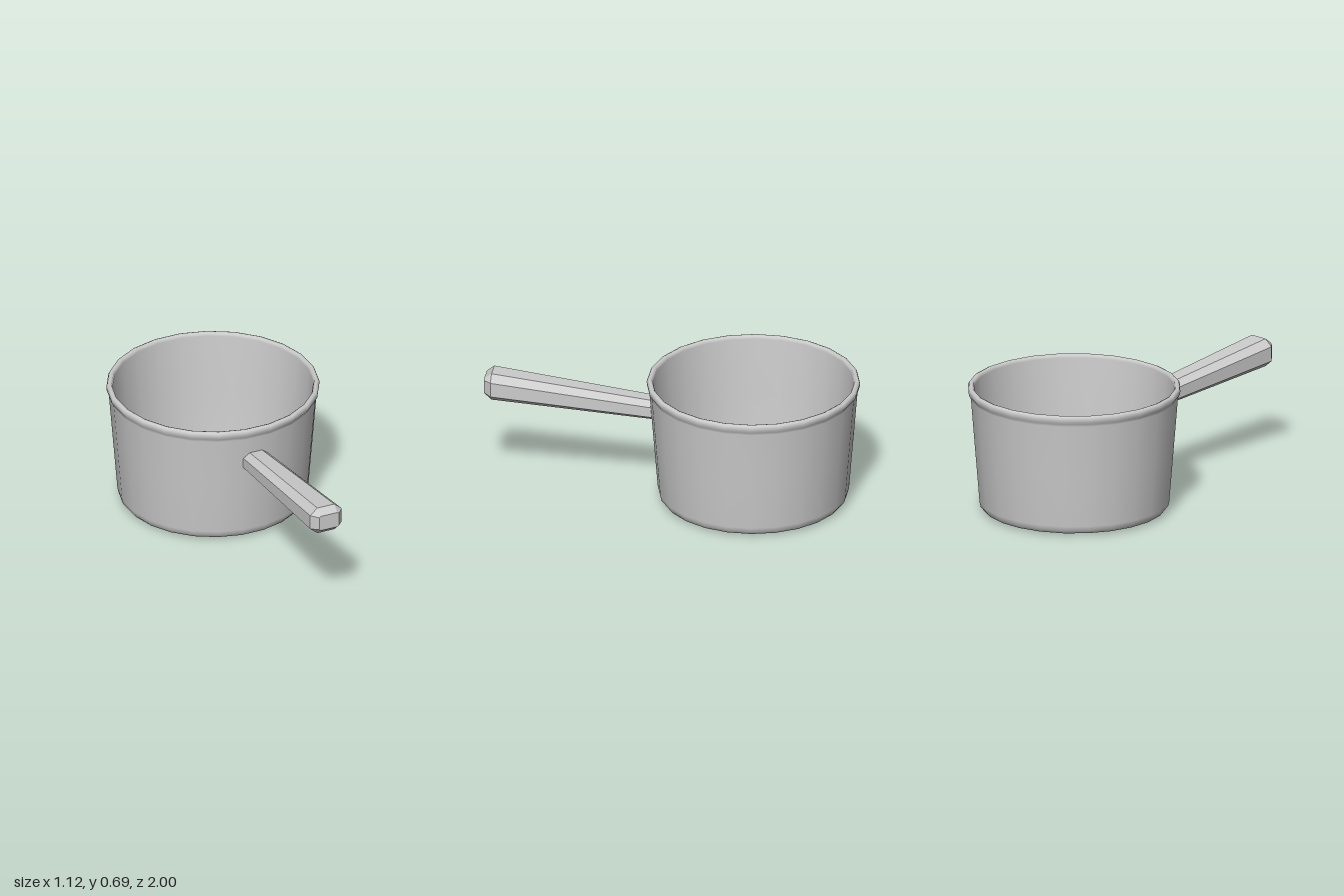
import * as THREE from 'three';

const material = new THREE.MeshStandardMaterial({ color: 0xcccccc });
const flatMaterial = new THREE.MeshStandardMaterial({ color: 0xcccccc, flatShading: true });

// Octagonal ring with chamfered corners: centre x, y, z, half sizes w, h, and flat half sizes fw, fh
function ring({ x, y, z, w, h, fw, fh }) {
  return [[w, -fh], [w, fh], [fw, h], [-fw, h], [-w, fh], [-w, -fh], [-fw, -h], [fw, -h]]
    .map(([dx, dy]) => new THREE.Vector3(x + dx, y + dy, z));
}

// Skins rings running from -z to +z and closes both ends
function loft(rings) {
  const pos = [];
  const tri = (...corners) => corners.forEach((p) => pos.push(p.x, p.y, p.z));
  const n = rings[0].length;
  for (let r = 0; r < rings.length - 1; r++) {
    for (let i = 0; i < n; i++) {
      const j = (i + 1) % n, a = rings[r], b = rings[r + 1];
      tri(a[i], a[j], b[j]);
      tri(a[i], b[j], b[i]);
    }
  }
  const first = rings[0], last = rings[rings.length - 1];
  for (let i = 1; i < n - 1; i++) {
    tri(first[0], first[i + 1], first[i]);
    tri(last[0], last[i], last[i + 1]);
  }
  const geometry = new THREE.BufferGeometry();
  geometry.setAttribute('position', new THREE.Float32BufferAttribute(pos, 3));
  geometry.computeVertexNormals();
  return geometry;
}

export function createModel() {
  const group = new THREE.Group();
  group.name = 'saucepan';

  // Pot: underside, outer wall, rolled rim, inner wall and floor in one profile
  const profile = [
    [0, 0], [0.33, 0.003], [0.465, 0.006], [0.488, 0.013], [0.501, 0.03], [0.507, 0.055],
    [0.53, 0.34], [0.553, 0.625], [0.556, 0.638], [0.564, 0.65], [0.566, 0.668],
    [0.561, 0.68], [0.55, 0.685], [0.538, 0.68], [0.533, 0.665],
    [0.51, 0.36], [0.488, 0.075], [0.479, 0.05], [0.455, 0.036], [0.33, 0.033], [0, 0.032],
  ].map(([r, y]) => new THREE.Vector2(r, y));
  const sides = 24;
  const pot = new THREE.Mesh(new THREE.LatheGeometry(profile, sides, Math.PI / sides), material);
  pot.name = 'pot';
  pot.position.z = -0.438;
  group.add(pot);

  // Handle: faceted, widening and rising away from the pot, with a bevelled tip
  const handle = new THREE.Mesh(loft([
    ring({ x: -0.008, y: 0.479, z: 0.085, w: 0.072, h: 0.054, fw: 0.036, fh: 0.028 }),
    ring({ x: -0.01, y: 0.558, z: 0.96, w: 0.093, h: 0.076, fw: 0.05, fh: 0.04 }),
    ring({ x: -0.01, y: 0.56, z: 1, w: 0.058, h: 0.043, fw: 0.048, fh: 0.036 }),
  ]), flatMaterial);
  handle.name = 'handle';
  group.add(handle);

  return group;
}
